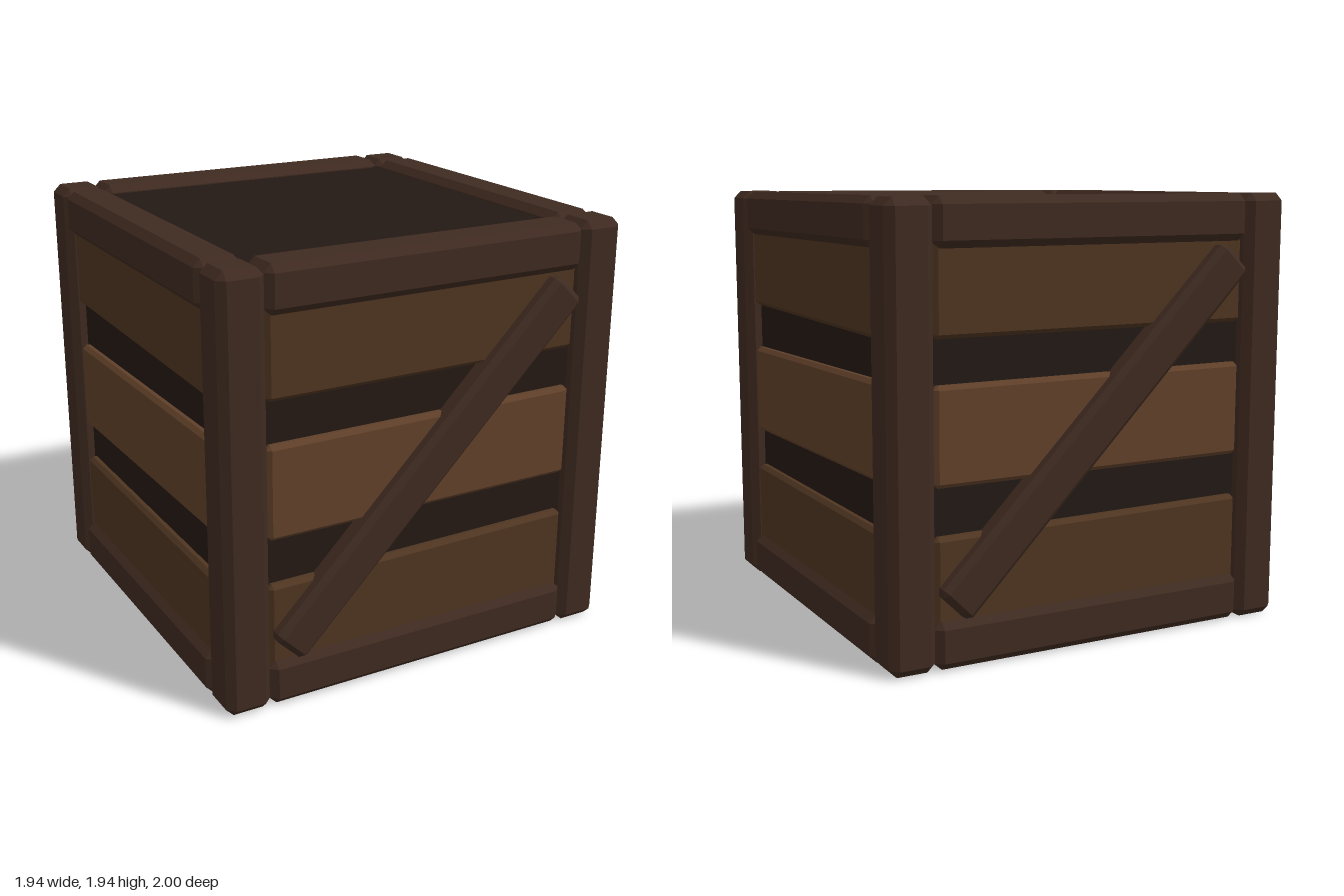
import * as THREE from 'three';
import { ConvexGeometry } from 'three/addons/geometries/ConvexGeometry.js';

const makeMaterial = (color) => new THREE.MeshStandardMaterial({ color, flatShading: true });

// Box with every edge and corner cut off; skewTop / skewBottom tilt the long edges
function chamferedBox(w, h, d, c, skewTop = 0, skewBottom = 0) {
  const points = [];
  for (const sx of [-1, 1]) for (const sy of [-1, 1]) for (const sz of [-1, 1]) {
    for (let axis = 0; axis < 3; axis++) {
      const x = sx * (w / 2 - (axis === 0 ? 0 : c));
      const y = sy * (h / 2 - (axis === 1 ? 0 : c));
      const z = sz * (d / 2 - (axis === 2 ? 0 : c));
      const skew = (sy > 0 ? skewTop : skewBottom) * (x / w);
      points.push(new THREE.Vector3(x, y + skew, z));
    }
  }
  return new ConvexGeometry(points);
}

export function createModel() {
  const crate = new THREE.Group();
  crate.name = 'crate';
  const frameWood = makeMaterial(0x3e2a20);
  const plankWood = makeMaterial(0x5f4029);
  const shadedPlankWood = makeMaterial(0x4e3521);
  const coreWood = makeMaterial(0x231914);

  const add = (parent, name, geometry, material, x, y, z) => {
    const mesh = new THREE.Mesh(geometry, material);
    mesh.name = name;
    mesh.position.set(x, y, z);
    parent.add(mesh);
    return mesh;
  };

  // Dark inner box behind the boards, slightly recessed all round
  add(crate, 'innerBox', new THREE.BoxGeometry(1.8, 1.86, 1.8), coreWood, 0, 0.976, 0);

  // Corner posts, slightly uneven in length
  for (const sx of [-1, 1]) for (const sz of [-1, 1]) {
    const height = sx * sz > 0 ? 1.94 : 1.93;
    add(crate, 'cornerPost', chamferedBox(0.207, height, 0.207, 0.035),
      frameWood, sx * 0.866, 0.976, sz * 0.867);
  }

  // Planks: height of centre, then tilt of the top and bottom edges
  const frontPlanks = [[0.367, 0.02, 0], [0.983, 0.005, 0.005], [1.588, 0, 0]];
  const sidePlanks = [[0.37, 0, 0], [0.98, 0.025, 0.025], [1.59, 0, -0.02]];

  for (let i = 0; i < 4; i++) {
    const side = new THREE.Group();
    side.name = ['frontSide', 'leftSide', 'backSide', 'rightSide'][i];
    side.rotation.y = i * Math.PI / 2;
    crate.add(side);

    // Top and bottom rails
    for (const y of [0.115, 1.84]) {
      add(side, y > 1 ? 'topRail' : 'bottomRail',
        chamferedBox(1.53, 0.208, 0.205, 0.033), frameWood, 0, y, 0.866);
    }

    // Three wide planks, the outer two darker
    (i % 2 ? sidePlanks : frontPlanks).forEach(([y, top, bottom], row) => {
      add(side, 'plank', chamferedBox(1.51, 0.42, 0.1, 0.018, top, bottom),
        row === 1 ? plankWood : shadedPlankWood, 0, y, 0.887);
    });

    // Diagonal brace on front and back only
    if (i % 2 === 0) {
      const brace = add(side, 'diagonalBrace', chamferedBox(1.965, 0.19, 0.12, 0.025),
        frameWood, 0, 0.975, 0.94);
      brace.rotation.z = 0.79;
    }
  }
  return crate;
}
